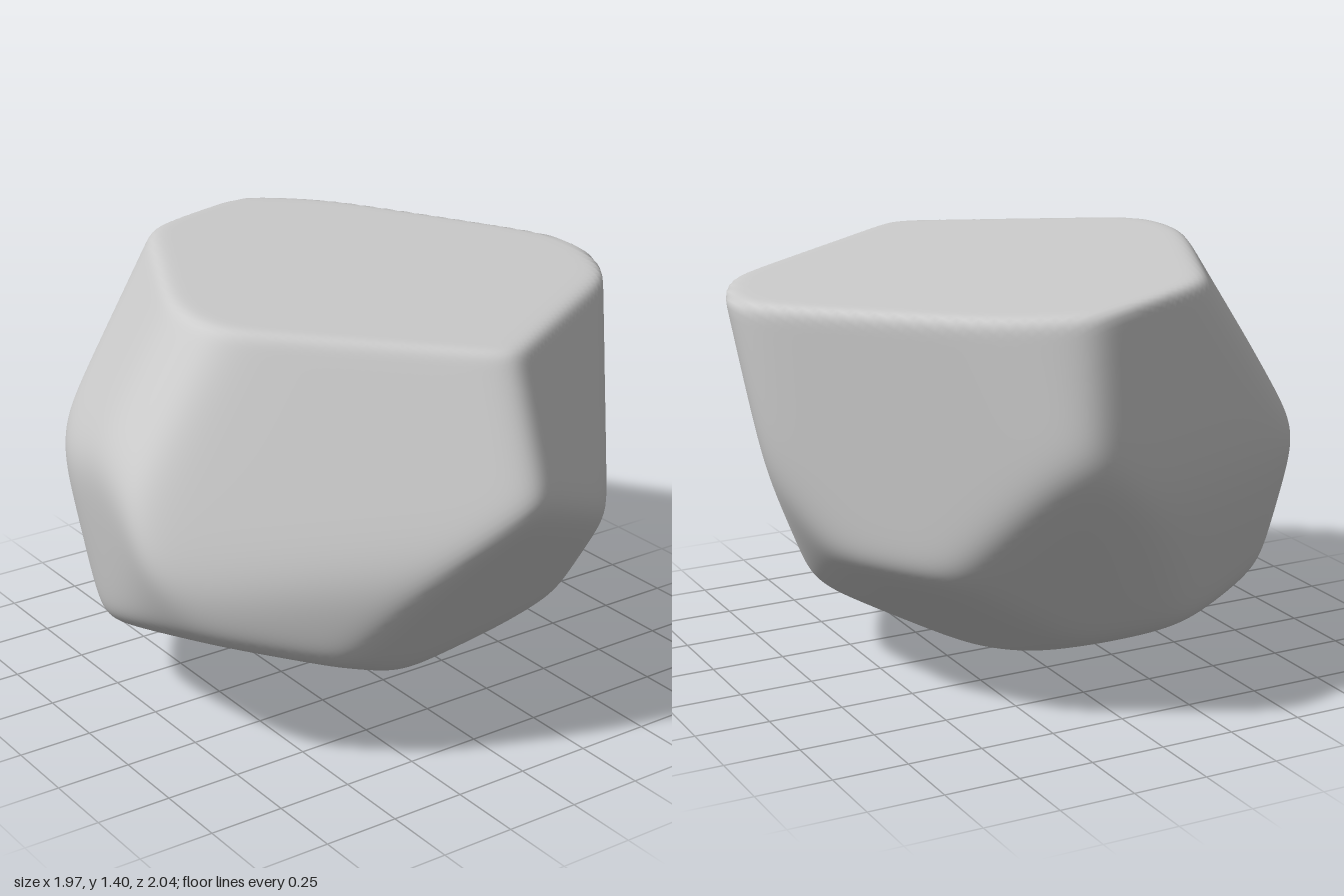
import * as THREE from 'three';
import { mergeVertices } from 'three/addons/utils/BufferGeometryUtils.js';

// Each facet of the boulder: a normal and a point it passes through.
const FACETS = [
  [[-0.56, 0.42, 0.71], [-0.25, 1.36, 0.6]],    // front left, upper
  [[-0.56, -0.12, 0.8], [-0.4, 0.7, 0.87]],     // front left, lower
  [[0.52, 0.35, 0.8], [0.3, 1.3, 0.7]],         // front right, upper
  [[0.1, -0.57, 0.81], [0.05, 0.5, 0.77]],      // front, lower
  [[0.87, -0.22, 0.42], [0.97, 1.15, 0.05]],    // right
  [[0.85, -0.5, -0.05], [0.83, 0.54, 0]],       // right, lower
  [[0.99, -0.05, -0.03], [1.0, 1.2, 0]],        // right corner
  [[0.82, -0.04, -0.57], [0.75, 1.0, -0.44]],   // back right
  [[0.48, 0.18, -0.86], [0.4, 1.05, -0.95]],    // back corner
  [[-0.38, 0.14, -0.92], [-0.3, 0.9, -0.83]],   // back
  [[-0.36, -0.28, -0.88], [-0.3, 0.6, -0.8]],   // back, middle
  [[0.22, -0.55, -0.8], [0.1, 0.5, -0.8]],      // back, lower
  [[-0.75, 0.5, -0.37], [-0.46, 1.38, -0.4]],   // back left, upper
  [[-0.82, 0.57, 0.05], [-0.67, 1.37, 0.15]],   // left, upper
  [[-0.95, -0.1, -0.2], [-0.955, 0.7, 0.15]],   // left
  [[-0.85, -0.42, 0.2], [-0.94, 0.5, 0.25]],    // left, lower
  [[-0.82, -0.22, -0.52], [-0.78, 0.65, -0.48]], // back left, lower
  [[-0.4, -0.92, 0.25], [-0.5, 0.18, 0]],       // underside, left
  [[0.48, -0.82, -0.31], [0.4, 0.15, 0]],       // underside, right
  [[0.45, -0.85, 0.25], [0.4, 0.14, 0.25]],     // underside, front right
  [[0.1, -0.88, 0.45], [0.1, 0.12, 0.4]],       // underside, front
  [[0, -0.92, -0.39], [0.1, 0.08, -0.35]],      // underside, back
  [[-0.38, -0.84, -0.38], [-0.42, 0.14, -0.38]], // underside, back left
  [[-0.12, -0.99, 0], [0.05, -0.035, 0]],       // base
];
const TOP = [[0.05, 1, 0.025], [0.17, 1.35, -0.1]];
const CENTRE = new THREE.Vector3(0, 0.7, 0);

// Turns a facet into a vector whose dot with a direction is 1 / distance to it.
function toPlane([normal, point]) {
  const n = new THREE.Vector3(...normal);
  return n.divideScalar(n.dot(new THREE.Vector3(...point).sub(CENTRE)));
}

function boulderGeometry() {
  const sides = FACETS.map(toPlane);
  const top = toPlane(TOP);
  let geo = new THREE.IcosahedronGeometry(1, 54);
  geo.deleteAttribute('uv');
  geo.deleteAttribute('normal');
  geo = mergeVertices(geo, 1e-5);
  const pos = geo.attributes.position;
  const d = new THREE.Vector3();
  for (let i = 0; i < pos.count; i++) {
    d.fromBufferAttribute(pos, i).normalize();
    // Soft edges between the sides, a tighter edge around the flat top
    let sum = 0;
    for (const s of sides) sum += Math.max(0, s.dot(d)) ** 28;
    const side = sum ** (1 / 28);
    const inv = (side ** 60 + Math.max(0, top.dot(d)) ** 60) ** (1 / 60);
    d.divideScalar(inv).add(CENTRE);
    pos.setXYZ(i, d.x, d.y, d.z);
  }
  // Stand it on the ground
  geo.computeBoundingBox();
  geo.translate(0, -geo.boundingBox.min.y, 0);
  geo.computeVertexNormals();
  return geo;
}

export function createModel() {
  const group = new THREE.Group();
  group.name = 'rock';
  const boulder = new THREE.Mesh(
    boulderGeometry(),
    new THREE.MeshStandardMaterial({ color: 0xcccccc })
  );
  boulder.name = 'boulder';
  group.add(boulder);
  return group;
}
